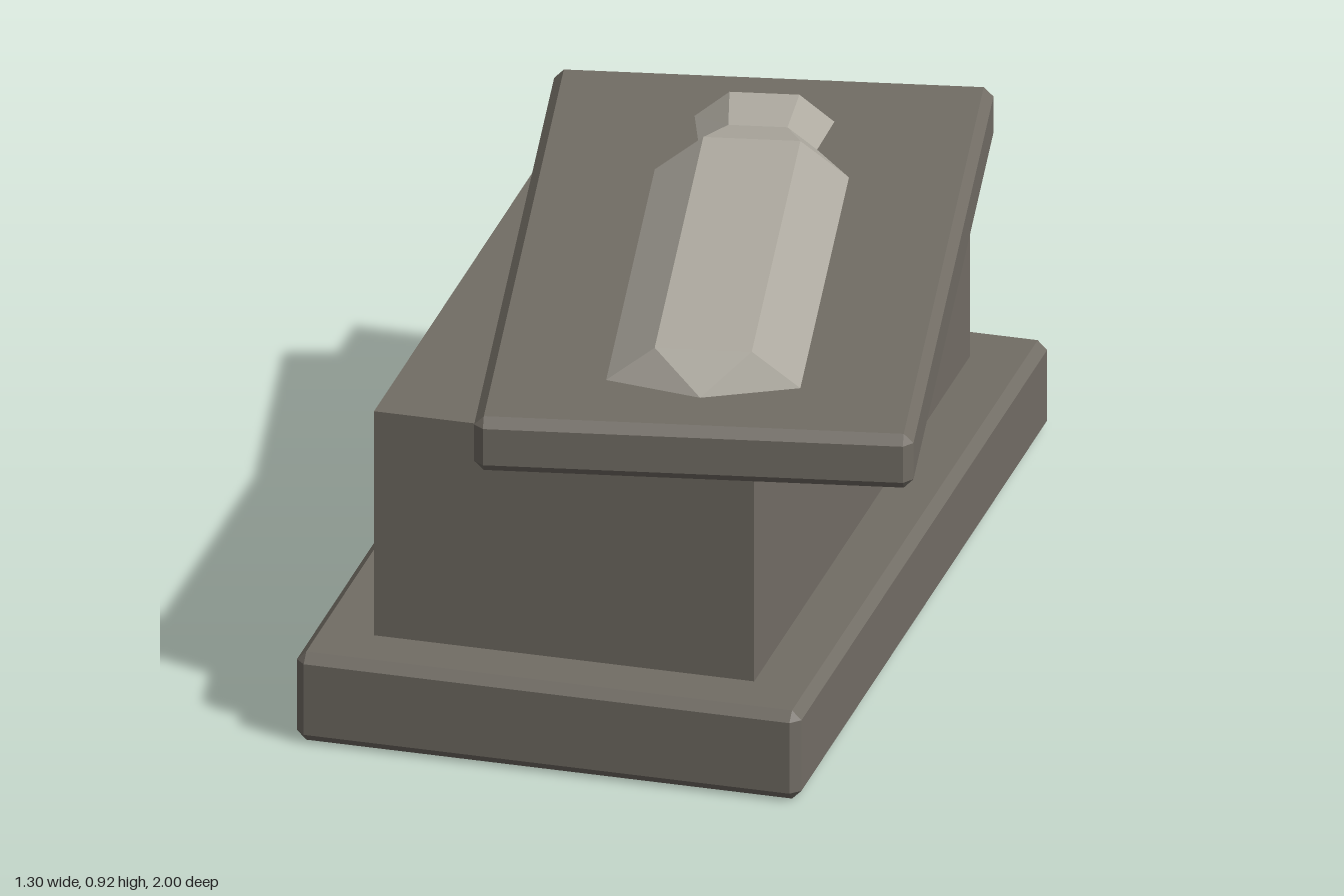
import * as THREE from 'three';
import { ConvexGeometry } from 'three/addons/geometries/ConvexGeometry.js';

const stone = new THREE.MeshStandardMaterial({ color: 0x726d65 });
stone.name = 'darkStone';
const paleStone = new THREE.MeshStandardMaterial({ color: 0xaeaaa0 });
paleStone.name = 'paleStone';

function addMesh(parent, name, geometry, material, x = 0, y = 0, z = 0) {
  const mesh = new THREE.Mesh(geometry, material);
  mesh.name = name;
  mesh.position.set(x, y, z);
  parent.add(mesh);
  return mesh;
}

// Box with every edge and corner cut flat
function chamferedBox(width, height, depth, cut) {
  const half = [width / 2, height / 2, depth / 2];
  const points = [];
  for (const sx of [-1, 1]) for (const sy of [-1, 1]) for (const sz of [-1, 1]) {
    for (let full = 0; full < 3; full++) {
      const [a, b, c] = half.map((h, i) => (i === full ? h : h - cut));
      points.push(new THREE.Vector3(sx * a, sy * b, sz * c));
    }
  }
  return new ConvexGeometry(points);
}

// Faceted relief lofted through trapezoid sections, with a point at both ends
function reliefGeometry(sections, headZ, footZ) {
  const rings = sections.map(({ z, base, top, height }) => [
    [-base, 0, z], [-top, height, z], [top, height, z], [base, 0, z],
  ]);
  const vertices = [];
  const triangle = (a, b, c) => vertices.push(...a, ...b, ...c);
  const head = [0, 0, headZ];
  const foot = [0, 0, footZ];
  const first = rings[0];
  const last = rings[rings.length - 1];
  for (let i = 0; i < 3; i++) {
    for (let r = 0; r < rings.length - 1; r++) {
      const a = rings[r], b = rings[r + 1];
      triangle(a[i], b[i], b[i + 1]);
      triangle(a[i], b[i + 1], a[i + 1]);
    }
    triangle(head, first[i], first[i + 1]);
    triangle(foot, last[i + 1], last[i]);
  }
  const geometry = new THREE.BufferGeometry();
  geometry.setAttribute('position', new THREE.Float32BufferAttribute(vertices, 3));
  geometry.computeVertexNormals();
  return geometry;
}

export function createModel() {
  const model = new THREE.Group();
  model.name = 'sarcophagus';

  // Plinth and chest
  addMesh(model, 'plinth', chamferedBox(1.075, 0.2, 1.885, 0.02), stone, -0.115, 0.1, -0.058);
  addMesh(model, 'chest', new THREE.BoxGeometry(0.81, 0.51, 1.62), stone, -0.115, 0.453, -0.058);

  // Lid pushed askew
  const lid = new THREE.Group();
  lid.name = 'lid';
  lid.position.set(0.055, 0.776, 0.077);
  lid.rotation.y = THREE.MathUtils.degToRad(10.2);
  model.add(lid);
  addMesh(lid, 'lidSlab', chamferedBox(0.905, 0.122, 1.71, 0.02), stone);

  // Reclining figure carved on the lid: head, neck, shoulders, feet
  const sections = [
    { z: -0.64, base: 0.144, top: 0.072, height: 0.058 },
    { z: -0.503, base: 0.122, top: 0.061, height: 0.048 },
    { z: -0.377, base: 0.2, top: 0.1, height: 0.078 },
    { z: 0.638, base: 0.2, top: 0.1, height: 0.078 },
  ];
  addMesh(lid, 'effigy', reliefGeometry(sections, -0.737, 0.704), paleStone, 0, 0.061, 0);

  return model;
}
